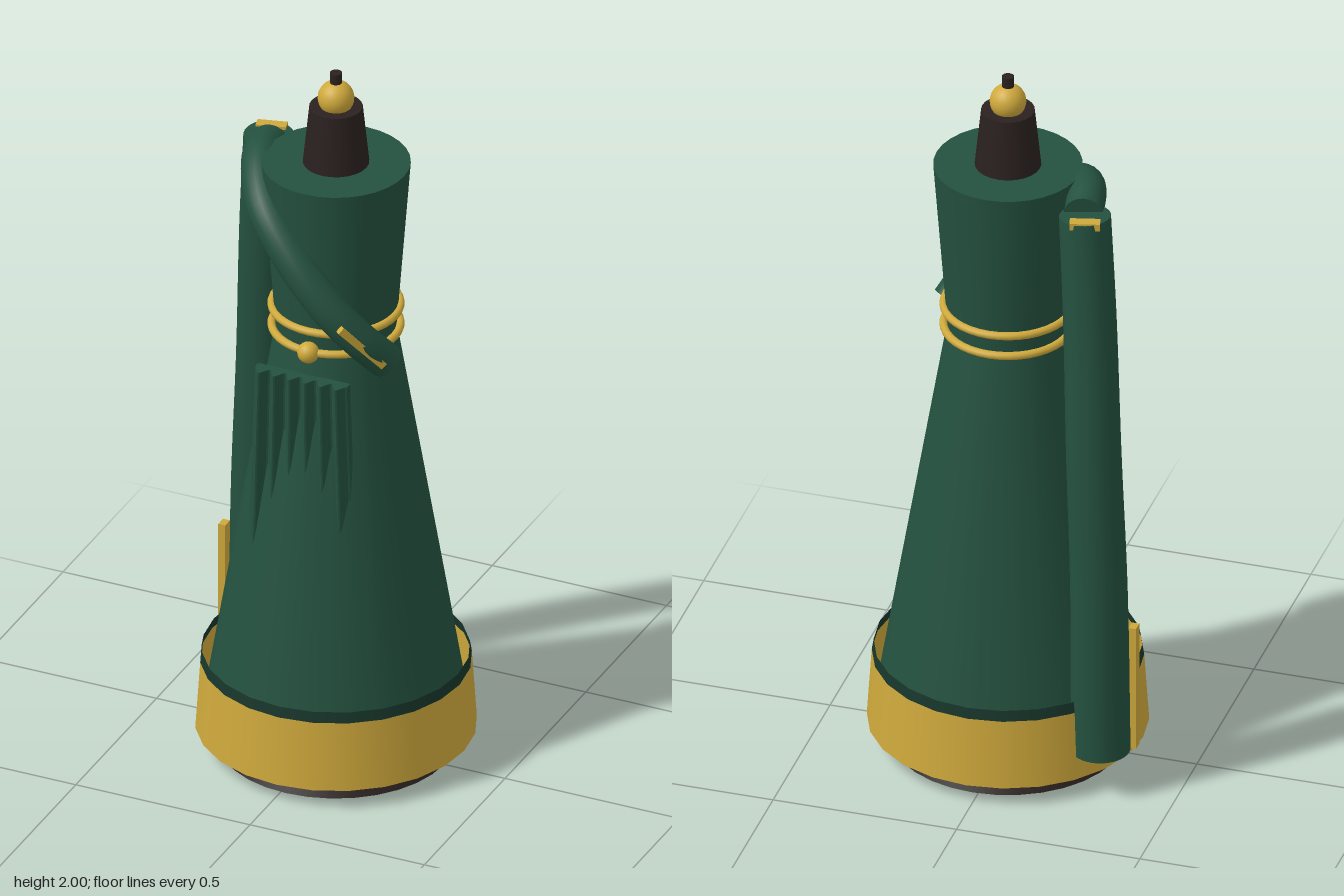
import * as THREE from 'three';

const V = (x, y, z) => new THREE.Vector3(x, y, z);
const mat = (color) => new THREE.MeshStandardMaterial({ color, side: THREE.DoubleSide });

export function createModel() {
  const model = new THREE.Group();
  const green = mat(0x24513f), darkGreen = mat(0x17352a), gold = mat(0xcfa93c), dark = mat(0x2a211f);
  const AX = 0.015; // x of the upright axis

  const add = (name, geometry, material, x = AX, y = 0, z = 0, parent = model) => {
    const mesh = new THREE.Mesh(geometry, material);
    mesh.name = name;
    mesh.position.set(x, y, z);
    parent.add(mesh);
    return mesh;
  };
  // Upright cone or cylinder between two heights
  const drum = (name, rTop, rBottom, y0, y1, material, open = false, sides = 24) =>
    add(name, new THREE.CylinderGeometry(rTop, rBottom, y1 - y0, sides, 1, open), material, AX, (y0 + y1) / 2);

  // Stand and central pole
  drum('base', 0.29, 0.31, 0, 0.035, dark, false, 32);
  drum('pole', 0.016, 0.016, 0.02, 2, dark, false, 12);

  // Hollow skirt and fitted bodice
  drum('skirt', 0.158, 0.357, 0.055, 1.25, green, true, 32);
  drum('bodice', 0.195, 0.158, 1.25, 1.735, green, false, 32);

  // Wide hem with a dark edge
  drum('hemBand', 0.355, 0.368, 0.055, 0.25, gold, true);
  drum('hemEdge', 0.35, 0.355, 0.25, 0.28, darkGreen, true);

  // Neck and finial
  drum('neck', 0.07, 0.087, 1.735, 1.9, dark);
  add('finial', new THREE.SphereGeometry(0.048, 24, 16), gold, AX, 1.925);

  // Belt cords and buckle
  for (const y of [1.25, 1.31]) {
    const cord = add('beltCord', new THREE.TorusGeometry(0.168, 0.011, 10, 40), gold, AX, y);
    cord.rotation.x = Math.PI / 2;
  }
  add('buckle', new THREE.SphereGeometry(0.029, 16, 12), gold, AX, 1.25, 0.172);

  // Upright pleated panel that sinks into the skirt; it widens downwards
  const pleats = new THREE.Shape();
  pleats.moveTo(-0.15, -0.165);
  const steps = 60;
  for (let i = 0; i <= steps; i++) {
    const t = i / steps;
    pleats.lineTo(-0.15 + 0.3 * t, -0.2 + 0.014 * Math.cos(t * Math.PI * 12));
  }
  pleats.lineTo(0.15, -0.165);
  const panel = new THREE.ExtrudeGeometry(pleats, { depth: 1.08, bevelEnabled: false });
  panel.rotateX(-Math.PI / 2);
  const p = panel.attributes.position;
  for (let i = 0; i < p.count; i++) p.setX(i, p.getX(i) * (p.getY(i) > 0.5 ? 0.88 : 1.12));
  panel.computeVertexNormals();
  add('pleatedPanel', panel, green, 0.0, 0.1);

  // Sleeve: a tube whose radius changes along the path, with flat ends
  const sleeve = (name, points, r0, r1) => {
    const group = new THREE.Group();
    group.name = name;
    model.add(group);
    const curve = new THREE.CatmullRomCurve3(points);
    const segs = 40, sides = 20;
    const tube = new THREE.TubeGeometry(curve, segs, 1, sides);
    const pos = tube.attributes.position, v = new THREE.Vector3();
    for (let i = 0; i < pos.count; i++) {
      const t = Math.floor(i / (sides + 1)) / segs;
      const c = curve.getPointAt(t);
      v.fromBufferAttribute(pos, i).sub(c).multiplyScalar(r0 + (r1 - r0) * t).add(c);
      pos.setXYZ(i, v.x, v.y, v.z);
    }
    add('sleeveTube', tube, green, 0, 0, 0, group);
    for (const [t, r, s] of [[0, r0, -1], [1, r1, 1]]) {
      const c = curve.getPointAt(t);
      const cap = add('sleeveEnd', new THREE.CircleGeometry(r, sides), green, c.x, c.y, c.z, group);
      cap.lookAt(c.clone().addScaledVector(curve.getTangentAt(t), s));
    }
    return group;
  };

  // Long sleeve hanging behind the right side
  const hanging = sleeve('hangingSleeve', [
    V(-0.232, 1.69, -0.12), V(-0.252, 1.4, -0.142), V(-0.273, 1.0, -0.174),
    V(-0.291, 0.6, -0.187), V(-0.296, 0.12, -0.188)], 0.068, 0.078);
  add('hangingSleeveTrim', new THREE.BoxGeometry(0.02, 0.365, 0.03), gold, -0.374, 0.3, -0.147, hanging);

  // Sleeve wrapped over the shoulder and across the front
  const wrapped = sleeve('wrappedSleeve', [
    V(-0.222, 1.68, -0.1), V(-0.2, 1.693, 0.0), V(-0.13, 1.63, 0.125), V(-0.03, 1.53, 0.18),
    V(0.08, 1.405, 0.188), V(0.15, 1.315, 0.155), V(0.203, 1.23, 0.095)], 0.052, 0.048);
  const front = add('wrappedSleeveTrim', new THREE.BoxGeometry(0.016, 0.02, 0.18), gold, 0.175, 1.31, 0.187, wrapped);
  front.lookAt(0.225, 1.23, 0.133);
  const shoulder = add('shoulderTrim', new THREE.BoxGeometry(0.08, 0.02, 0.03), gold, -0.246, 1.69, -0.165, wrapped);
  shoulder.rotation.y = 0.25;

  return model;
}
